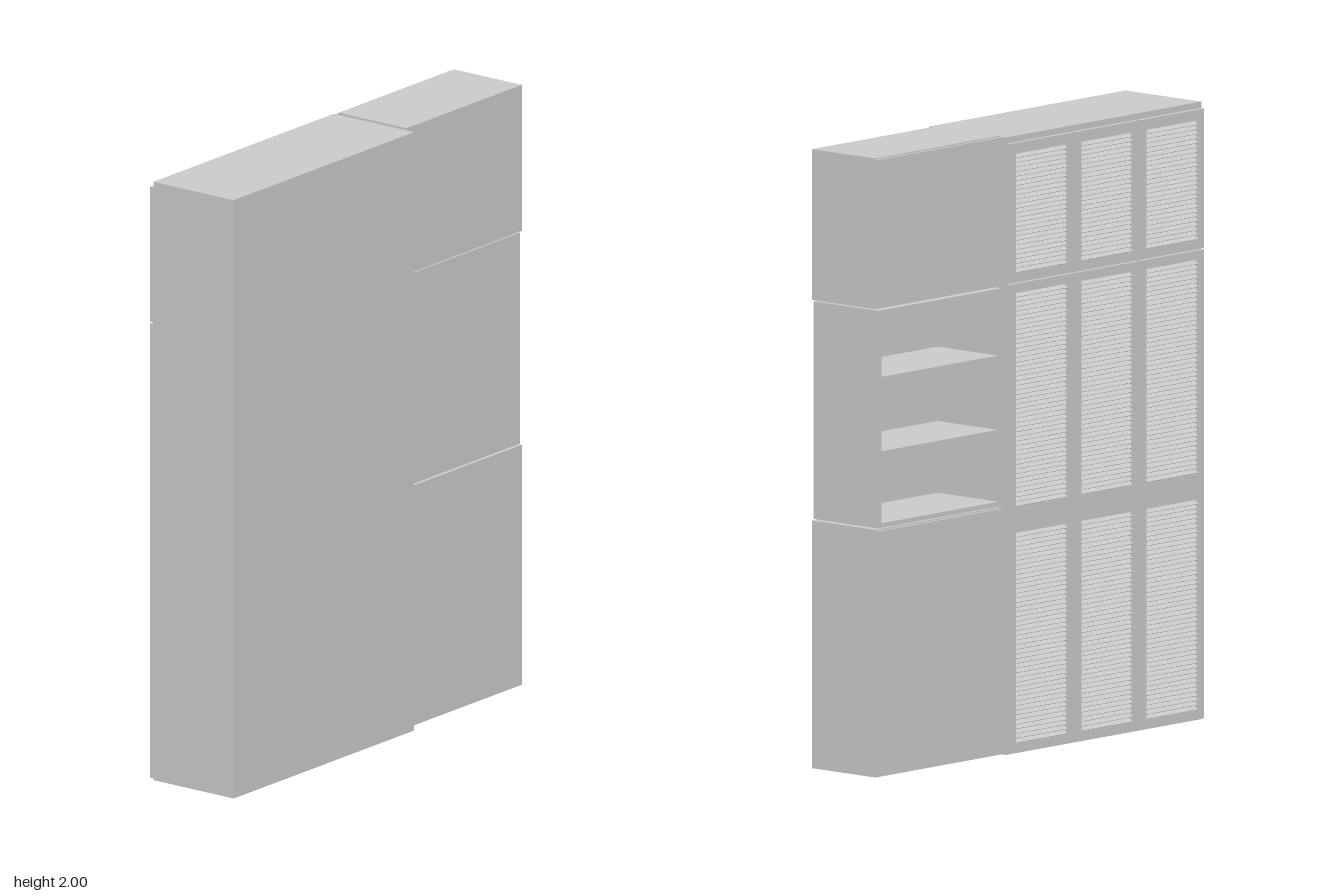
import * as THREE from 'three';
import { mergeGeometries } from 'three/addons/utils/BufferGeometryUtils.js';

const material = new THREE.MeshStandardMaterial({ color: 0xcccccc });

// Box geometry given by its limits on each axis
function slab(x0, x1, y0, y1, z0, z1) {
  return new THREE.BoxGeometry(x1 - x0, y1 - y0, z1 - z0)
    .translate((x0 + x1) / 2, (y0 + y1) / 2, (z0 + z1) / 2);
}

function part(name, geometries) {
  const mesh = new THREE.Mesh(mergeGeometries(geometries), material);
  mesh.name = name;
  return mesh;
}

// Hollow case, open towards -z
function carcass(name, x0, x1, y0, y1, z0, z1, t = 0.015) {
  return part(name, [
    slab(x0, x0 + t, y0, y1, z0, z1),
    slab(x1 - t, x1, y0, y1, z0, z1),
    slab(x0 + t, x1 - t, y0, y0 + t, z0, z1),
    slab(x0 + t, x1 - t, y1 - t, y1, z0, z1),
    slab(x0 + t, x1 - t, y0 + t, y1 - t, z1 - t, z1),
  ]);
}

// Framed door whose openings (pairs of heights) are filled with tilted slats
function louvreDoor(name, x0, x1, y0, y1, z0, z1, openings) {
  const stile = 0.03, pitch = 0.015;
  const door = new THREE.Group();
  door.name = name;
  const frame = [slab(x0, x0 + stile, y0, y1, z0, z1), slab(x1 - stile, x1, y0, y1, z0, z1)];
  const slats = [];
  let railBottom = y0;
  for (const [low, high] of openings) {
    frame.push(slab(x0 + stile, x1 - stile, railBottom, low, z0, z1));
    railBottom = high;
    const count = Math.round((high - low) / pitch);
    for (let i = 0; i < count; i++) {
      slats.push(new THREE.BoxGeometry(x1 - x0 - 2 * stile, 0.002, 0.019)
        .rotateX(-Math.PI / 4)
        .translate((x0 + x1) / 2, low + (i + 0.5) * (high - low) / count, (z0 + z1) / 2 + 0.001));
    }
  }
  frame.push(slab(x0 + stile, x1 - stile, railBottom, y1, z0, z1));
  door.add(part('doorFrame', frame), part('louvres', slats));
  return door;
}

// Wide wardrobe: three columns, each with a short and a tall louvred door
function wardrobe() {
  const group = new THREE.Group();
  group.name = 'wardrobe';
  const x0 = -0.76, x1 = 0.175, back = 0.16, front = -0.165;
  group.add(carcass('wardrobeCase', x0, x1, 0, 1.995, front, back));
  const width = (x1 - x0) / 3, gap = 0.003;
  for (let i = 0; i < 3; i++) {
    const a = x0 + i * width + gap, b = x0 + (i + 1) * width - gap;
    group.add(louvreDoor('upperDoor', a, b, 1.525, 1.975, front - 0.015, front, [[1.555, 1.94]]));
    group.add(louvreDoor('lowerDoor', a, b, 0.005, 1.52, front - 0.015, front,
      [[0.035, 0.715], [0.8, 1.49]]));
    if (i > 0) {
      const c = x0 + i * width;
      group.add(part('divider', [slab(c - 0.0075, c + 0.0075, 0.015, 1.98, front + 0.001, back - 0.015)]));
    }
  }
  group.add(part('fixedShelf', [slab(x0 + 0.015, x1 - 0.015, 1.515, 1.53, front + 0.002, back - 0.015)]));
  return group;
}

// Narrow tower: cupboard, open shelves and top cupboard stacked with thin gaps
function tower() {
  const group = new THREE.Group();
  group.name = 'shelfTower';
  const x0 = 0.182, x1 = 0.778, back = 0.125, front = -0.147;
  const mid = (x0 + x1) / 2;
  for (const [name, y0, y1] of [['baseCupboard', 0, 0.8], ['topCupboard', 1.513, 2]]) {
    group.add(carcass(name, x0, x1, y0, y1, front, back));
    for (const [a, b] of [[x0 + 0.002, mid - 0.0015], [mid + 0.0015, x1 - 0.002]]) {
      group.add(part('plainDoor', [slab(a, b, y0 + 0.004, y1 - 0.004, front - 0.011, front)]));
    }
  }
  // Open middle section
  group.add(carcass('openCase', x0, x1 - 0.005, 0.805, 1.508, front - 0.008, back - 0.003));
  for (const y of [1.045, 1.285]) {
    group.add(part('shelf', [slab(x0 + 0.015, x1 - 0.02, y - 0.008, y + 0.007, front - 0.005, back - 0.018)]));
  }
  return group;
}

export function createModel() {
  const model = new THREE.Group();
  model.name = 'wallUnit';
  const unit = new THREE.Group();
  unit.name = 'cabinets';
  unit.add(wardrobe(), tower());
  unit.rotation.y = 0.418;
  model.add(unit);
  return model;
}
